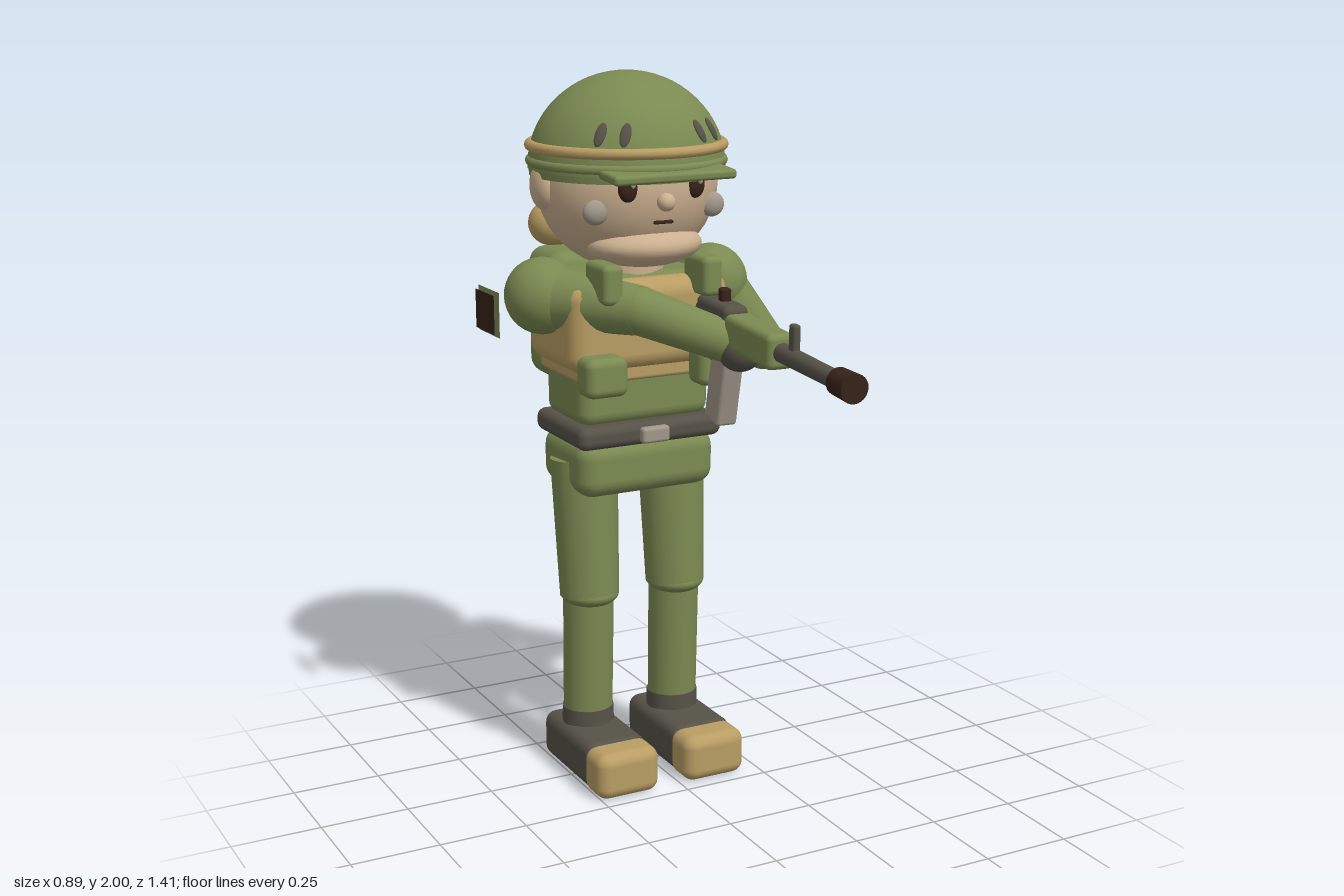
import * as THREE from 'three';
import { RoundedBoxGeometry } from 'three/addons/geometries/RoundedBoxGeometry.js';

const mat = (name, color, side = THREE.FrontSide) => {
  const m = new THREE.MeshStandardMaterial({ color, side });
  m.name = name;
  return m;
};

export function createModel() {
  const model = new THREE.Group();
  const green = mat('olive cloth', 0x7b8a52, THREE.DoubleSide);
  const tan = mat('tan canvas', 0xb99d63);
  const dark = mat('dark grey', 0x565248);
  const brown = mat('dark brown', 0x38231a, THREE.DoubleSide);
  const skin = mat('skin', 0xcbb08f);
  const grey = mat('warm grey', 0xa1978a);
  const CX = -0.03; // body centre line

  const add = (name, geo, m, x, y, z, parent = model) => {
    const mesh = new THREE.Mesh(geo, m);
    mesh.name = name;
    mesh.position.set(x, y, z);
    parent.add(mesh);
    return mesh;
  };
  const box = (name, m, w, h, d, x, y, z, r = 0.02, parent = model) =>
    add(name, new RoundedBoxGeometry(w, h, d, 3, r), m, x, y, z, parent);
  const ball = (name, m, rx, ry, rz, x, y, z, parent = model) => {
    const mesh = add(name, new THREE.SphereGeometry(1, 28, 18), m, x, y, z, parent);
    mesh.scale.set(rx, ry, rz);
    return mesh;
  };
  // Tapered cylinder from point a to point b
  const limb = (name, m, a, b, ra, rb, parent = model) => {
    const p = new THREE.Vector3(...a), q = new THREE.Vector3(...b);
    const dir = q.clone().sub(p);
    const mid = p.clone().add(q).multiplyScalar(0.5);
    const mesh = add(name, new THREE.CylinderGeometry(rb, ra, dir.length(), 24), m, mid.x, mid.y, mid.z, parent);
    mesh.quaternion.setFromUnitVectors(new THREE.Vector3(0, 1, 0), dir.normalize());
    return mesh;
  };

  // Legs and boots
  for (const side of [-1, 1]) {
    const x = CX + side * 0.137;
    const leg = new THREE.Group();
    leg.name = side > 0 ? 'leftLeg' : 'rightLeg';
    model.add(leg);
    limb('thigh', green, [x, 0.93, -0.315], [x, 0.53, -0.288], 0.096, 0.085, leg);
    ball('knee', green, 0.084, 0.04, 0.086, x, 0.535, -0.288, leg);
    limb('shin', green, [x, 0.56, -0.295], [x, 0.15, -0.31], 0.073, 0.071, leg);
    limb('bootCuff', dark, [x, 0.185, -0.309], [x, 0.1, -0.309], 0.074, 0.076, leg);
    box('boot', dark, 0.188, 0.138, 0.33, x, 0.071, -0.265, 0.035, leg);
    box('bootToe', tan, 0.192, 0.135, 0.12, x, 0.0675, -0.085, 0.035, leg);
  }

  // Hips, belt and torso
  box('hips', green, 0.42, 0.16, 0.29, CX, 0.92, -0.31, 0.05);
  box('belt', dark, 0.44, 0.065, 0.315, CX, 1.018, -0.308, 0.025);
  box('buckle', grey, 0.085, 0.045, 0.03, CX, 1.018, -0.14, 0.01);
  box('shirt', green, 0.4, 0.42, 0.255, CX, 1.25, -0.312, 0.04);
  box('vest', tan, 0.485, 0.25, 0.325, CX, 1.325, -0.303, 0.05);
  box('vestHem', tan, 0.41, 0.05, 0.29, CX, 1.195, -0.308, 0.012);
  for (const side of [-1, 1]) {
    box('shoulderStrap', green, 0.06, 0.11, 0.13, CX + side * 0.15, 1.455, -0.14, 0.018);
    box('vestPouch', green, 0.125, 0.11, 0.09, CX + side * 0.17, 1.205, -0.115, 0.025);
  }
  limb('neck', skin, [CX, 1.42, -0.305], [CX, 1.53, -0.305], 0.1, 0.1);

  // Head and face
  const head = new THREE.Group();
  head.name = 'head';
  head.position.set(CX, 1.7, -0.305);
  model.add(head);
  ball('skull', skin, 0.255, 0.24, 0.235, 0, 0, 0, head);
  ball('chin', skin, 0.165, 0.062, 0.14, 0, -0.158, 0.1, head);
  ball('nose', skin, 0.025, 0.025, 0.025, 0, -0.03, 0.238, head);
  box('mouth', brown, 0.055, 0.009, 0.02, 0, -0.085, 0.218, 0.003, head);
  for (const s of [-1, 1]) {
    ball('ear', skin, 0.032, 0.065, 0.054, s * 0.247, 0, -0.01, head);
    ball('eye', brown, 0.028, 0.036, 0.018, s * 0.1, 0.008, 0.212, head);
    ball('eyeGlint', grey, 0.007, 0.008, 0.005, s * 0.1 + 0.008, 0.018, 0.228, head);
    ball('cheek', grey, 0.036, 0.034, 0.024, s * 0.175, -0.055, 0.168, head);
  }
  const hair = add('backHair', new THREE.SphereGeometry(1, 20, 6, Math.PI * 1.5 - 0.65, 1.3, 1.65, 0.31), brown, 0, 0, 0, head);
  hair.scale.set(0.26, 0.245, 0.24);

  // Helmet with band, rim, visor and leaf marks
  const helmet = new THREE.Group();
  helmet.name = 'helmet';
  helmet.position.set(CX, 1.74, -0.305);
  model.add(helmet);
  const dome = add('dome', new THREE.SphereGeometry(1, 40, 16, 0, Math.PI * 2, 0, Math.PI / 2), green, 0, 0, 0, helmet);
  dome.scale.set(0.272, 0.26, 0.272);
  add('rim', new THREE.CylinderGeometry(0.272, 0.268, 0.045, 40), green, 0, 0.005, 0, helmet);
  for (const [name, m, r, tube, y] of [['band', tan, 0.265, 0.015, 0.062], ['rimRoll', green, 0.264, 0.014, 0.02]]) {
    add(name, new THREE.TorusGeometry(r, tube, 10, 48), m, 0, y, 0, helmet).rotation.x = Math.PI / 2;
  }
  const visor = box('visor', green, 0.36, 0.026, 0.17, 0, 0.008, 0.22, 0.01, helmet);
  visor.rotation.x = 0.08;
  for (const dx of [-0.165, -0.11, 0.11, 0.165]) {
    const dy = 0.11;
    const dz = 0.272 * Math.sqrt(1 - (dx / 0.272) ** 2 - (dy / 0.26) ** 2);
    const leaf = ball('leafMark', dark, 0.015, 0.034, 0.007, dx, dy, dz, helmet);
    leaf.rotation.set(-0.45, Math.atan2(dx, dz), dx > 0 ? 0.2 : -0.2, 'YXZ');
  }

  // Arms: shoulder, elbow and hand positions
  const arms = [
    ['leftArm', [0.235, 1.4, -0.31], [0.378, 1.205, -0.25], [0.13, 1.29, -0.05]],
    ['rightArm', [-0.285, 1.4, -0.315], [-0.1, 1.38, -0.09], [0.12, 1.29, 0.06]],
  ];
  for (const [name, s, e, h] of arms) {
    const arm = new THREE.Group();
    arm.name = name;
    model.add(arm);
    ball('shoulder', green, 0.104, 0.106, 0.108, ...s, arm);
    limb('upperArm', green, s, e, 0.09, 0.068, arm);
    ball('elbow', green, 0.067, 0.067, 0.067, ...e, arm);
    limb('forearm', green, e, h, 0.066, 0.055, arm);
    const [hx, hy, hz] = h;
    ball('glove', dark, 0.06, 0.058, 0.065, hx, hy - 0.01, hz + 0.01, arm);
  }

  // Backpack with bedroll and side pockets
  const pack = new THREE.Group();
  pack.name = 'backpack';
  model.add(pack);
  box('packBody', green, 0.33, 0.375, 0.2, CX, 1.3, -0.55, 0.05, pack);
  const roll = add('bedroll', new THREE.CapsuleGeometry(0.064, 0.22, 8, 24), tan, CX, 1.553, -0.587, pack);
  roll.rotation.z = Math.PI / 2;
  roll.scale.y = 0.98;
  for (const s of [-1, 1]) box('sidePocket', green, 0.04, 0.12, 0.06, CX + s * 0.17, 1.305, -0.5, 0.015, pack);

  // Flat panels standing off the pack and the right sleeve
  const panel = (name, w, h, x, y, z, turn) => {
    const g = new THREE.Group();
    g.name = name;
    g.position.set(x, y, z);
    g.rotation.y = turn;
    model.add(g);
    add('panelBacking', new THREE.PlaneGeometry(w, h), green, 0, 0, -0.012, g);
    add('panelFace', new THREE.PlaneGeometry(w * 0.9, h * 0.86), brown, 0, 0, 0, g);
  };
  panel('packPanel', 0.21, 0.135, CX, 1.345, -0.7, Math.PI);
  panel('sleevePanel', 0.145, 0.125, -0.444, 1.365, -0.34, -Math.PI / 2);

  // Rifle, built along local z and turned slightly inward
  const rifle = new THREE.Group();
  rifle.name = 'rifle';
  rifle.position.set(0.12, 1.335, 0);
  rifle.rotation.set(0.035, -0.055, 0);
  model.add(rifle);
  box('stock', dark, 0.06, 0.1, 0.16, 0, -0.01, -0.19, 0.015, rifle);
  box('receiver', dark, 0.075, 0.13, 0.19, 0, 0, -0.035, 0.02, rifle);
  box('handguard', green, 0.082, 0.095, 0.27, 0, 0, 0.19, 0.018, rifle);
  limb('barrel', dark, [0, 0, 0.3], [0, 0, 0.64], 0.026, 0.024, rifle);
  limb('muzzle', brown, [0, 0, 0.625], [0, 0, 0.705], 0.036, 0.038, rifle);
  box('frontSight', dark, 0.022, 0.08, 0.032, 0, 0.05, 0.39, 0.008, rifle);
  box('rearSight', brown, 0.03, 0.04, 0.03, 0, 0.08, -0.02, 0.008, rifle);
  const magazine = box('magazine', grey, 0.062, 0.2, 0.085, 0, -0.175, -0.012, 0.01, rifle);
  magazine.rotation.x = 0.2;

  return model;
}
